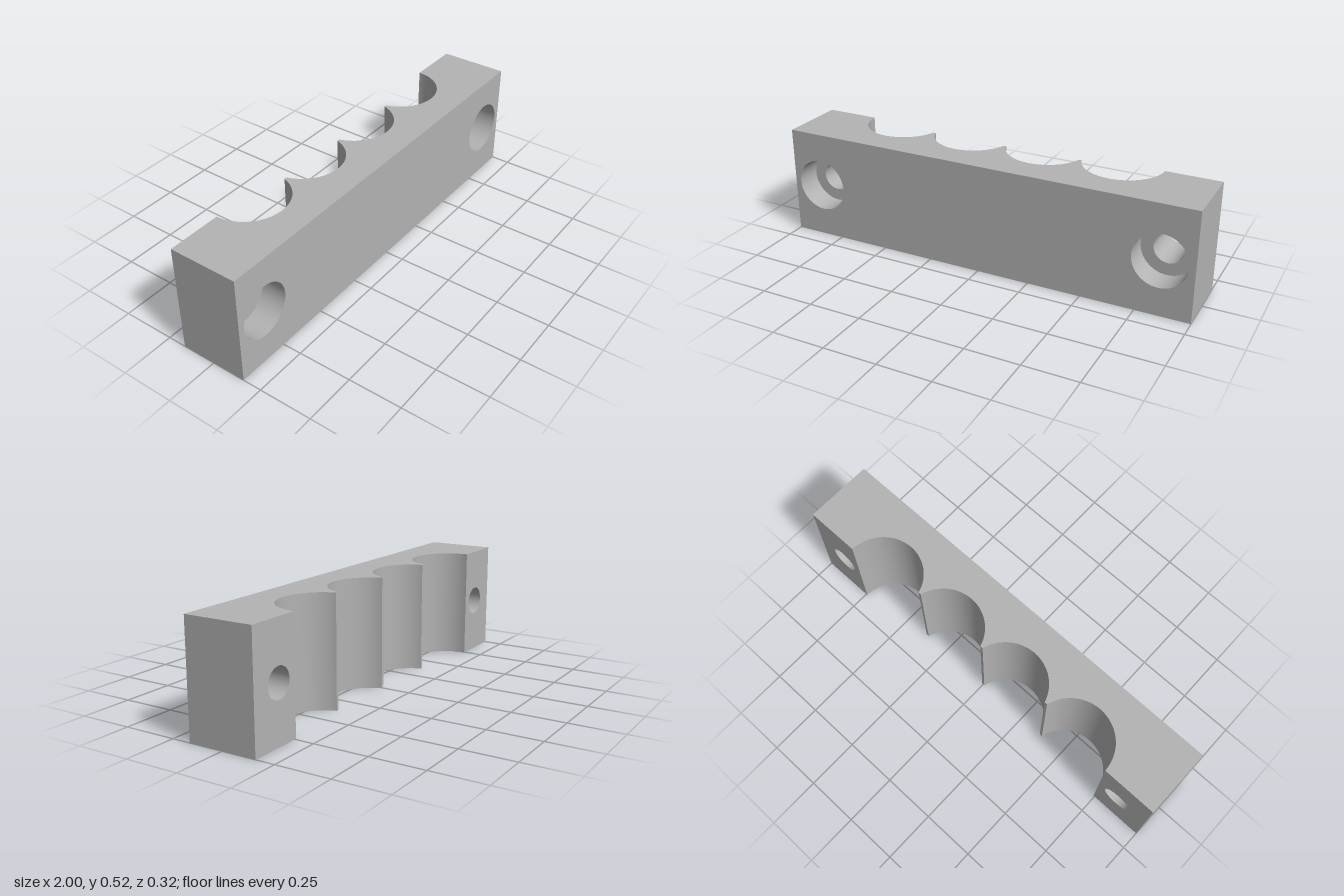
import * as THREE from 'three';

const H = 0.517, D = 0.162;                 // block height, half depth
const R = 0.186, TIP_Z = -0.112;            // groove radius, depth of the ridge tips
const BORE_X = 0.847, BORE_R = 0.068, SINK_R = 0.125, SINK_Z = 0.04;
const SEG = 40;

export function createModel() {
  const group = new THREE.Group();
  const grey = new THREE.MeshStandardMaterial({ color: 0xb3b3b3, side: THREE.DoubleSide });
  grey.name = 'grey';

  const add = (name, geometry, x = 0, y = 0, z = 0) => {
    const mesh = new THREE.Mesh(geometry, grey);
    mesh.name = name;
    mesh.position.set(x, y, z);
    group.add(mesh);
  };
  const rect = (w, h) => new THREE.Shape([
    new THREE.Vector2(-w / 2, -h / 2), new THREE.Vector2(w / 2, -h / 2),
    new THREE.Vector2(w / 2, h / 2), new THREE.Vector2(-w / 2, h / 2)]);
  const circle = (x, r) => new THREE.Path().absarc(x, 0, r, 0, Math.PI * 2, true);

  // Four round grooves; the outer ones run out to the back face
  const tipAngle = Math.acos((TIP_Z + D) / R);
  const grooves = [-3, -1, 1, 3].map((k) => ({
    x: k * R,
    start: k === -3 ? -Math.PI / 2 : -tipAngle,
    end: k === 3 ? Math.PI / 2 : tipAngle,
  }));

  // Scalloped outline for the top and bottom faces (shape y is -z)
  const outline = [new THREE.Vector2(1, D), new THREE.Vector2(1, -D),
    new THREE.Vector2(-1, -D), new THREE.Vector2(-1, D)];
  for (const g of grooves) {
    for (let i = 0; i <= SEG; i++) {
      const a = g.start + (g.end - g.start) * i / SEG;
      outline.push(new THREE.Vector2(g.x + R * Math.sin(a), D - R * Math.cos(a)));
    }
    add('grooveWall', new THREE.CylinderGeometry(R, R, H, SEG, 1, true, g.start, g.end - g.start),
      g.x, H / 2, -D);
  }
  const scalloped = new THREE.Shape(outline);
  add('topFace', new THREE.ShapeGeometry(scalloped).rotateX(-Math.PI / 2), 0, H, 0);
  add('bottomFace', new THREE.ShapeGeometry(scalloped).rotateX(-Math.PI / 2));

  // Narrow flat tips of the ridges between grooves
  const tipWidth = 2 * (R - R * Math.sin(tipAngle));
  for (const k of [-2, 0, 2]) {
    add('ridgeTip', new THREE.PlaneGeometry(tipWidth, H).rotateY(Math.PI), k * R, H / 2, TIP_Z);
  }

  // Front face with both counterbore openings
  const front = rect(2, H);
  front.holes.push(circle(-BORE_X, SINK_R), circle(BORE_X, SINK_R));
  add('frontFace', new THREE.ShapeGeometry(front, SEG), 0, H / 2, D);

  // Ends, back pads and stepped screw holes
  const padWidth = 1 - 4 * R, padX = 1 - padWidth / 2;
  const tube = (r, length) =>
    new THREE.CylinderGeometry(r, r, length, SEG * 2, 1, true).rotateX(Math.PI / 2);
  for (const s of [-1, 1]) {
    add('endFace', new THREE.PlaneGeometry(2 * D, H).rotateY(s * Math.PI / 2), s, H / 2, 0);

    const pad = rect(padWidth, H);
    pad.holes.push(circle(-s * (BORE_X - padX), BORE_R));
    add('backPad', new THREE.ShapeGeometry(pad, SEG).rotateY(Math.PI), s * padX, H / 2, -D);

    add('counterboreWall', tube(SINK_R, D - SINK_Z), s * BORE_X, H / 2, (D + SINK_Z) / 2);
    add('counterboreFloor', new THREE.RingGeometry(BORE_R, SINK_R, SEG * 2), s * BORE_X, H / 2, SINK_Z);
    add('screwHoleWall', tube(BORE_R, SINK_Z + D), s * BORE_X, H / 2, (SINK_Z - D) / 2);
  }
  return group;
}
